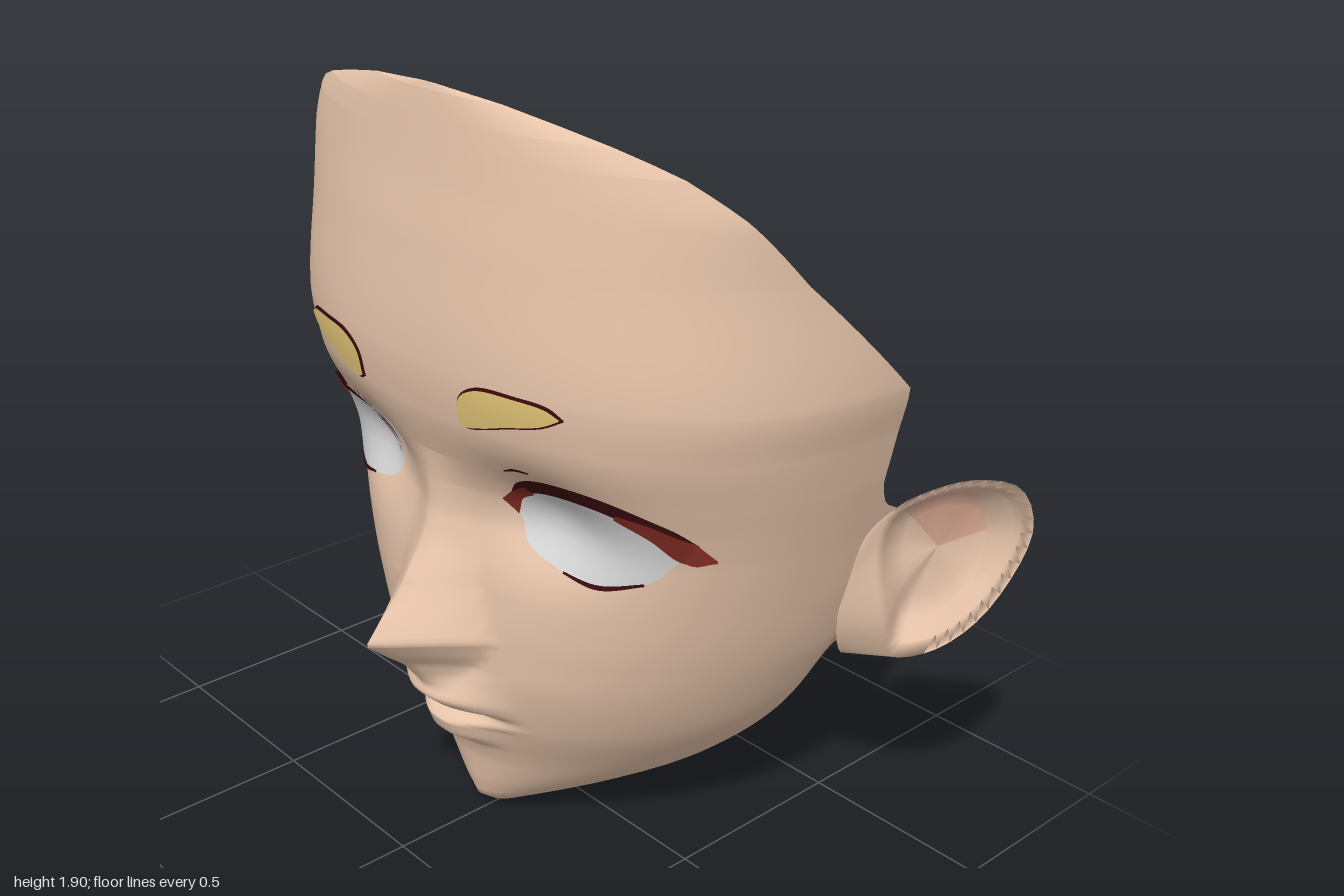
import * as THREE from 'three';
import { RoundedBoxGeometry } from 'three/addons/geometries/RoundedBoxGeometry.js';

const mat = (name, color) => {
  const m = new THREE.MeshStandardMaterial({ color, side: THREE.DoubleSide });
  m.name = name;
  return m;
};

// Horizontal face sections: y, front z, half width, z at half width, back edge x, back edge z, roundness
const ROWS = [
  [0, 0.15, 0.02, 0.14, 0, 0.13, 1.6], [0.015, 0.21, 0.05, 0.13, 0, 0.11, 1.6],
  [0.05, 0.253, 0.12, 0.08, 0, 0, 1.6], [0.07, 0.26, 0.17, 0.03, 0, -0.14, 1.6],
  [0.1, 0.27, 0.24, -0.05, 0.2, -0.19, 1.65], [0.2, 0.29, 0.4, -0.17, 0.32, -0.28, 1.75],
  [0.37, 0.345, 0.555, -0.26, 0.48, -0.385, 1.95], [0.53, 0.37, 0.64, -0.3, 0.6, -0.42, 2.1],
  [0.6, 0.37, 0.67, -0.31, 0.66, -0.445, 2.15], [0.75, 0.36, 0.715, -0.31, 0.72, -0.53, 2.28],
  [0.9, 0.345, 0.75, -0.29, 0.75, -0.46, 2.4], [0.98, 0.36, 0.77, -0.285, 0.77, -0.33, 2.42],
  [1.06, 0.385, 0.79, -0.285, 0.79, -0.295, 2.45], [1.18, 0.422, 0.815, -0.28, 0.815, -0.295, 2.5],
  [1.3, 0.435, 0.84, -0.28, 0.84, -0.29, 2.5], [1.57, 0.407, 0.827, -0.28, 0.827, -0.28, 2.5],
  [1.7, 0.385, 0.835, -0.28, 0.835, -0.28, 2.5], [1.79, 0.372, 0.81, -0.28, 0.81, -0.28, 2.5],
  [1.84, 0.365, 0.75, -0.28, 0.75, -0.28, 2.5], [1.89, 0.357, 0.55, -0.28, 0.55, -0.28, 2.5],
  [1.905, 0.352, 0.5, -0.28, 0.5, -0.28, 2.5],
];
// Depth of the slanted top rim by height
const RIM = [[1.3, -0.28], [1.57, 0], [1.71, 0.12], [1.79, 0.2], [1.84, 0.265], [1.89, 0.33], [1.905, 0.3519]];
// Height added on the centre line by nose and lips, and the nose half width
const NOSE = [[0.44, 0, 0.08], [0.485, 0.06, 0.09], [0.56, 0.155, 0.16], [0.61, 0.212, 0.19],
  [0.72, 0.12, 0.15], [0.83, 0.06, 0.12], [0.95, 0.03, 0.11], [1.06, 0, 0.1]];
const LIPS = [[0.23, 0], [0.255, 0.006], [0.29, 0.045], [0.335, 0.045], [0.362, -0.012],
  [0.378, -0.012], [0.39, 0.045], [0.42, 0.07], [0.47, 0.03], [0.52, 0]];

function sample(table, y) {
  if (y <= table[0][0]) return table[0];
  for (let i = 1; i < table.length; i++) {
    const a = table[i - 1], b = table[i];
    if (y <= b[0]) return a.map((v, k) => v + (b[k] - v) * (y - a[0]) / (b[0] - a[0]));
  }
  return table[table.length - 1];
}

// Smooth interpolation of the sections that never overshoots
function section(y) {
  const i = THREE.MathUtils.clamp(ROWS.findIndex(r => y < r[0]), 0, ROWS.length) || ROWS.length - 1;
  const a = ROWS[i - 1], b = ROWS[i], h = b[0] - a[0], t = Math.min(1, (y - a[0]) / h);
  const slope = (j, k) => (ROWS[j + 1][k] - ROWS[j][k]) / (ROWS[j + 1][0] - ROWS[j][0]);
  const tangent = (j, k) => {
    if (j === 0) return slope(0, k);
    if (j === ROWS.length - 1) return slope(j - 1, k);
    const p = slope(j - 1, k), q = slope(j, k);
    return p * q <= 0 ? 0 : 2 * p * q / (p + q);
  };
  return a.map((v, k) => k === 0 ? y
    : v * (1 + 2 * t) * (1 - t) ** 2 + b[k] * t * t * (3 - 2 * t)
      + h * (tangent(i - 1, k) * t * (1 - t) ** 2 - tangent(i, k) * t * t * (1 - t)));
}

// Depth of the face at a point
function faceZ(x, y) {
  const [, zf, w, zw, , , p] = section(y);
  const ax = Math.abs(x), s = Math.min(1, ax / w);
  let z = zw + (zf - zw) * Math.pow(1 - Math.pow(s, p), 1 / p);
  const [, h, nw] = sample(NOSE, y);
  z += h * Math.pow(Math.max(0, 1 - ax / nw), 1.15);
  const lipWidth = y < 0.34 ? 0.17 : 0.25;
  z += sample(LIPS, y)[1] * (1 - THREE.MathUtils.smoothstep(ax, 0.02, lipWidth));
  z -= 0.075 * Math.exp(-(((ax - 0.31) / 0.17) ** 2) - (((y - 0.965) / 0.115) ** 2));
  return z;
}

function build(pos, index) {
  const g = new THREE.BufferGeometry();
  g.setAttribute('position', new THREE.Float32BufferAttribute(pos, 3));
  g.setIndex(index);
  return g;
}

// Skin faces first, pink faces second
function twoTone(pos, skin, pink) {
  const g = build(pos, [...skin, ...pink]);
  g.addGroup(0, skin.length, 0);
  g.addGroup(skin.length, pink.length, 1);
  g.computeVertexNormals();
  return g;
}

// Open face shell with a pink band under the jaw
function faceGeometry() {
  const ys = ROWS.map(r => r[0]);
  for (let y = 0.12; y < 1.89; y += (y > 0.22 && y < 0.66) ? 0.01 : 0.025) ys.push(y);
  ys.sort((a, b) => a - b);
  const N = 40, BAND = 3, half = N + BAND, cols = 2 * half + 1;
  const pos = [], skin = [], pink = [];
  for (const y of ys) {
    const [, zf, w, zw, xb, zb, p] = section(y);
    const cut = y > 1.3 ? (sample(RIM, y)[1] - zw) / (zf - zw) : 0;
    const edge = w * Math.pow(Math.max(0, 1 - Math.pow(cut, p)), 1 / p);
    for (let c = -half; c <= half; c++) {
      const k = Math.abs(c), side = Math.sign(c);
      const x = edge * Math.sin(Math.min(1, k / N) * Math.PI / 2), z = faceZ(x, y);
      const t = y < 1.3 ? Math.max(0, k - N) / BAND : 0;
      pos.push(side * (x + (xb - x) * t), y, z + (zb - z) * t);
    }
  }
  for (let r = 0; r < ys.length - 1; r++) for (let c = 0; c < cols - 1; c++) {
    const a = r * cols + c, b = a + 1, d = a + cols, e = d + 1;
    const inBand = c < BAND || c >= cols - 1 - BAND;
    if (inBand && ys[r] >= 1.3) continue;
    (inBand && ys[r] > 0.03 && ys[r] < 0.72 ? pink : skin).push(a, b, e, a, e, d);
  }
  return twoTone(pos, skin, pink);
}

// Thin patch laid on the face between an upper and a lower curve
function patch(top, bottom, side, off, minZ = -1, n = 24, m = 6) {
  const curve = pts => new THREE.CatmullRomCurve3(pts.map(([x, y]) => new THREE.Vector3(x, y, 0)), false, 'centripetal');
  const A = curve(top), B = curve(bottom), pos = [], idx = [];
  for (let i = 0; i <= n; i++) {
    const a = A.getPoint(i / n), b = B.getPoint(i / n);
    for (let j = 0; j <= m; j++) {
      const p = a.clone().lerp(b, j / m);
      pos.push(side * p.x, p.y, Math.max(minZ, faceZ(p.x, p.y) + off));
      if (i < n && j < m) {
        const q = i * (m + 1) + j, r = q + m + 1;
        if (side > 0) idx.push(q, q + 1, r, r, q + 1, r + 1);
        else idx.push(q, r, q + 1, r, r + 1, q + 1);
      }
    }
  }
  const g = build(pos, idx);
  g.computeVertexNormals();
  return g;
}

// Faceted hollow behind the eye, closing to a point
function socketGeometry(side) {
  const pos = [], n = 8, g = new THREE.BufferGeometry();
  const rim = i => {
    const a = i / n * Math.PI * 2, x = 0.415 + 0.19 * Math.cos(a), y = 0.945 + 0.1 * Math.sin(a);
    return [side * x, y, faceZ(x, y) - 0.02];
  };
  for (let i = 0; i < n; i++) {
    const tri = [rim(i + 1), rim(i), [side * 0.41, 0.95, 0.04]];
    if (side < 0) tri.reverse();
    pos.push(...tri.flat());
    g.addGroup(i * 3, 3, i === 0 || i === 4 ? 1 : 0);
  }
  g.setAttribute('position', new THREE.Float32BufferAttribute(pos, 3));
  g.computeVertexNormals();
  return g;
}

// Ear: root, rim and bowl as rings around one outline
function earGeometry(side) {
  const rim = [[0.79, 0.67, -0.33], [0.77, 0.85, -0.31], [0.8, 0.97, -0.315], [0.87, 1.035, -0.36],
    [0.93, 1.06, -0.43], [0.985, 1.03, -0.53], [1, 0.92, -0.58], [0.975, 0.79, -0.555],
    [0.93, 0.67, -0.49], [0.86, 0.59, -0.43], [0.79, 0.565, -0.38]];
  const loop = new THREE.CatmullRomCurve3(rim.map(p => new THREE.Vector3(...p)), true);
  const mid = new THREE.Vector3(0.87, 0.84, -0.43), inward = new THREE.Vector3(-0.75, 0, -0.66);
  const rings = [[0.13, 0.015], [0.28, 0.06], [0.5, 0.075], [1, 0.065]];
  const n = 36, pos = [], skin = [], pink = [], total = rings.length + 2;
  for (let r = 0; r < total; r++) for (let i = 0; i < n; i++) {
    const p = loop.getPoint(i / n);
    if (r === 0) {
      const y = 0.73 + (p.y - 0.81) * 0.8;
      p.set(0.66 + 0.2 * (y - 0.5), y, -0.4 + (p.z + 0.44) * 0.95);
    } else if (r > 1) {
      const [t, depth] = rings[r - 2];
      p.lerp(mid, t).addScaledVector(inward, depth);
    }
    pos.push(side * p.x, p.y, p.z);
    if (r < total - 1) {
      const a = r * n + i, b = r * n + (i + 1) % n, c = a + n, d = b + n;
      const upper = i > 6 && i < 20;
      const f = side > 0 ? [a, c, b, b, c, d] : [a, b, c, b, d, c];
      ((r === 3 || r === 4) && upper ? pink : skin).push(...f);
    }
  }
  return twoTone(pos, skin, pink);
}

export function createModel() {
  const skin = mat('skin', 0xebc8ad), pink = mat('pink skin', 0xe0ad96), white = mat('eye white', 0xd8d8d8);
  const dark = mat('dark lash', 0x3e0b0f), red = mat('lash red', 0x842c24);
  const gold = mat('brow gold', 0xe4c678), mouthRed = mat('mouth red', 0x903026);
  const model = new THREE.Group();
  const add = (name, geometry, material, parent = model) => {
    const mesh = new THREE.Mesh(geometry, material);
    mesh.name = name;
    parent.add(mesh);
    return mesh;
  };
  add('face', faceGeometry(), [skin, pink]);
  add('mouthInterior', new RoundedBoxGeometry(0.41, 0.2, 0.26, 5, 0.095), mouthRed).position.set(0, 0.37, 0.16);

  for (const side of [1, -1]) {
    const half = new THREE.Group();
    half.name = side > 0 ? 'leftFeatures' : 'rightFeatures';
    model.add(half);
    add('ear', earGeometry(side), [skin, pink], half);

    // Eye and the hollow behind it
    add('eye', patch([[0.22, 0.95], [0.25, 1.01], [0.34, 1.045], [0.46, 1.045], [0.56, 1.01], [0.62, 0.95]],
      [[0.22, 0.95], [0.25, 0.885], [0.34, 0.85], [0.45, 0.835], [0.55, 0.865], [0.62, 0.95]], side, 0.007), white, half);
    add('eyeBack', patch([[0.195, 0.95], [0.235, 1.05], [0.34, 1.105], [0.48, 1.105], [0.59, 1.05], [0.635, 0.95]],
      [[0.195, 0.95], [0.235, 0.85], [0.34, 0.79], [0.48, 0.78], [0.59, 0.835], [0.635, 0.95]], side, -0.012), white, half);
    add('eyeHollow', socketGeometry(side), [dark, red], half);

    // Lashes and lid crease
    add('upperLash', patch([[0.2, 0.98], [0.26, 1.05], [0.36, 1.088], [0.5, 1.08], [0.61, 1.02], [0.645, 0.975]],
      [[0.215, 0.965], [0.26, 1.012], [0.36, 1.042], [0.48, 1.042], [0.57, 1], [0.63, 0.945]], side, 0.012, 0.14), dark, half);
    add('lashWing', patch([[0.52, 1.045], [0.58, 1.025], [0.64, 0.985], [0.71, 0.967]],
      [[0.51, 1.03], [0.57, 0.985], [0.62, 0.925], [0.71, 0.962]], side, 0.017, 0.15), red, half);
    add('lashInner', patch([[0.195, 0.985], [0.23, 1.015], [0.28, 1.045]],
      [[0.225, 0.95], [0.245, 0.995], [0.29, 1.022]], side, 0.017), red, half);
    add('lowerLash', patch([[0.36, 0.85], [0.45, 0.84], [0.54, 0.862]],
      [[0.36, 0.845], [0.45, 0.828], [0.54, 0.855]], side, 0.012), dark, half);
    add('lidCrease', patch([[0.25, 1.086], [0.29, 1.104], [0.33, 1.106]],
      [[0.25, 1.082], [0.29, 1.096], [0.33, 1.1]], side, 0.008), dark, half);

    // Eyebrow over a slightly larger dark edge
    add('browEdge', patch([[0.175, 1.2], [0.185, 1.261], [0.24, 1.298], [0.35, 1.304], [0.43, 1.297], [0.463, 1.276]],
      [[0.175, 1.2], [0.2, 1.188], [0.25, 1.198], [0.32, 1.22], [0.41, 1.244], [0.463, 1.272]], side, 0.008), dark, half);
    add('brow', patch([[0.181, 1.203], [0.191, 1.26], [0.243, 1.292], [0.35, 1.298], [0.425, 1.292], [0.456, 1.277]],
      [[0.181, 1.203], [0.203, 1.193], [0.25, 1.203], [0.32, 1.225], [0.41, 1.249], [0.456, 1.273]], side, 0.013), gold, half);
  }
  return model;
}
